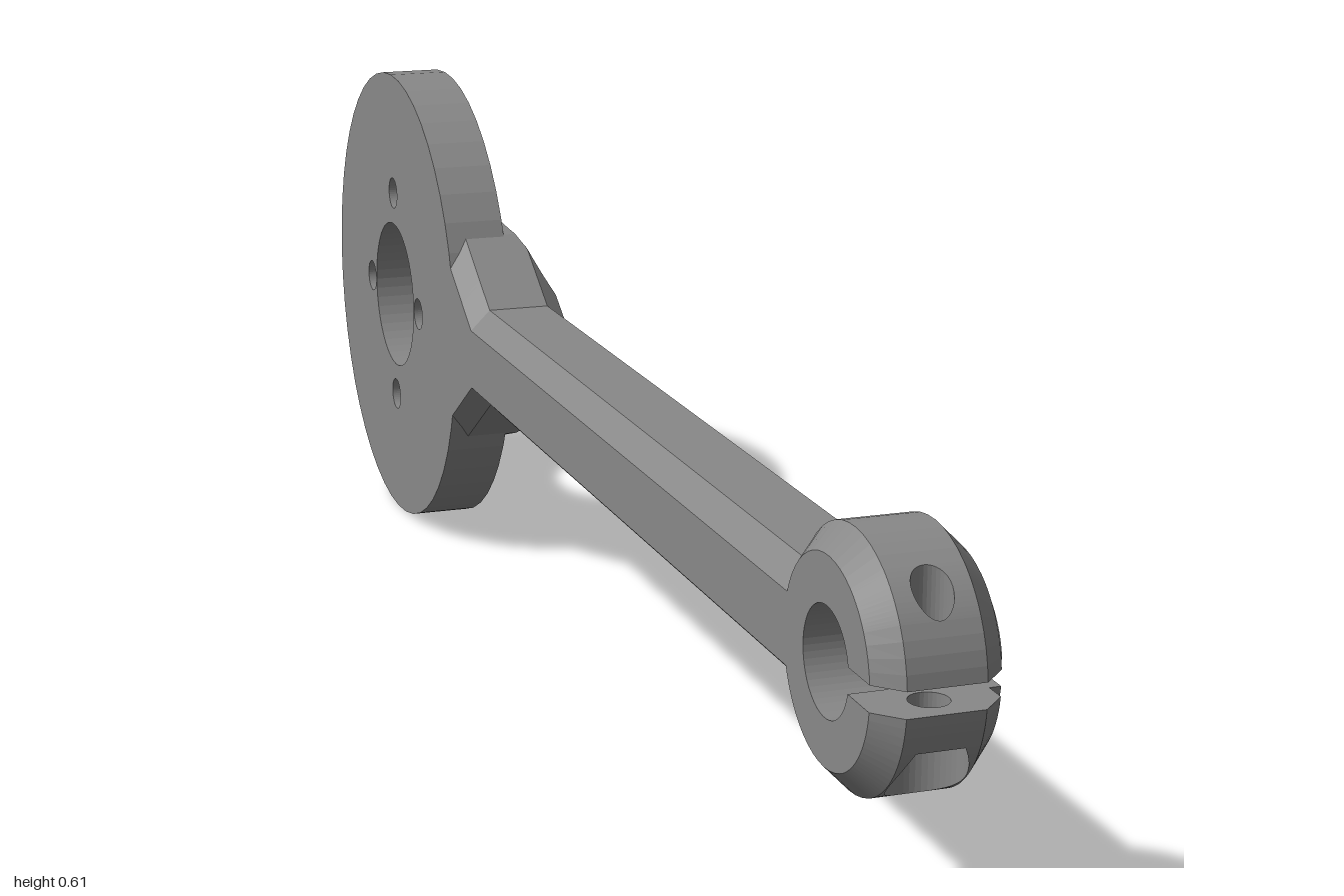
import * as THREE from 'three';

const CY = 0.307;                       // height of the common axis
const BACK = -0.071;                    // flat side shared by all parts
const TAU = Math.PI * 2;

const material = new THREE.MeshStandardMaterial({ color: 0x888888, flatShading: true });

function add(parent, name, geometry) {
  const g = geometry.index ? geometry.toNonIndexed() : geometry;
  g.computeVertexNormals();
  const mesh = new THREE.Mesh(g, material);
  mesh.name = name;
  parent.add(mesh);
}

// Surface through rows of points; the front is (along rows) x (along points)
function loft(rows, flip = false) {
  const n = rows[0].length, index = [];
  for (let i = 0; i < rows.length - 1; i++) {
    for (let j = 0; j < n - 1; j++) {
      const a = i * n + j, b = a + n, c = b + 1, d = a + 1;
      if (flip) index.push(a, c, b, a, d, c);
      else index.push(a, b, c, a, c, d);
    }
  }
  const g = new THREE.BufferGeometry();
  g.setAttribute('position', new THREE.Float32BufferAttribute(rows.flat(2), 3));
  g.setIndex(index);
  return g;
}

const circle = (x, y, r) => new THREE.Path().absarc(x, y, r, 0, TAU, true);
const steps = (a, b, n) => Array.from({ length: n + 1 }, (_, i) => a + (b - a) * i / n);

// Round plate: a layer with narrow screw holes and one with counterbores
function buildDisc() {
  const disc = new THREE.Group();
  disc.name = 'disc';
  const layer = (name, x0, x1, screwRadius) => {
    const s = new THREE.Shape().absarc(0, 0, 0.307, 0, TAU);
    s.holes.push(circle(0, 0, 0.1));
    for (const k of [-1, 1]) {
      s.holes.push(circle(0.124 * k, 0, 0.021), circle(0, 0.143 * k, screwRadius));
    }
    const g = new THREE.ExtrudeGeometry(s, { depth: x1 - x0, bevelEnabled: false, curveSegments: 24 });
    add(disc, name, g.rotateY(Math.PI / 2).translate(x0, CY, -0.693));
  };
  layer('discBack', BACK, -0.03, 0.021);
  layer('discFront', -0.03, 0.0055, 0.04);
  return disc;
}

// Straight bar with chamfered corners
function buildRod(parent) {
  const c = 0.025, x1 = 0.056, h = 0.0625;
  const s = new THREE.Shape([
    [BACK + c, -h], [x1 - c, -h], [x1, c - h], [x1, h - c],
    [x1 - c, h], [BACK + c, h], [BACK, h - c], [BACK, c - h],
  ].map(p => new THREE.Vector2(...p)));
  const g = new THREE.ExtrudeGeometry(s, { depth: 1.1, bevelEnabled: false });
  add(parent, 'rod', g.translate(0, CY, -0.31));
}

// Flared neck whose top sinks into the disc along a round fillet about the disc axis
function buildNeck(parent) {
  const radius = 0.14;
  const width = z => z > -0.42
    ? THREE.MathUtils.mapLinear(z, -0.31, -0.42, 0.0625, 0.135)
    : THREE.MathUtils.mapLinear(z, -0.42, -0.515, 0.135, 0.168);
  const fillet = (y, z) => {
    const d = THREE.MathUtils.clamp(Math.hypot(y, z + 0.693) - 0.238, 0, radius);
    return 0.0052 + radius - Math.sqrt(radius * radius - d * d);
  };
  const rows = steps(-0.31, -0.53, 44).map(z => {
    const w = width(z), f = w - 0.025;
    const bar = y => Math.min(0.056, 0.031 + w - y);
    // Where the fillet meets the chamfered bar
    let lo = 0, hi = w;
    for (let i = 0; i < 24; i++) {
      const mid = (lo + hi) / 2;
      if (fillet(mid, z) < bar(mid)) lo = mid;
      else hi = mid;
    }
    const [p, q] = lo < f ? [lo, f] : [f, lo];
    const side = [...steps(0, p, 8), ...steps(p, q, 4).slice(1), ...steps(q, w, 4).slice(1)];
    const ys = [...side.slice(1).reverse().map(y => -y), ...side];
    const ring = ys.map(y => [Math.min(bar(Math.abs(y)), fillet(y, z)), CY + y, z]);
    ring.push([BACK + 0.025, CY + w, z], [BACK, CY + f, z],
      [BACK, CY - f, z], [BACK + 0.025, CY - w, z], ring[0]);
    return ring;
  });
  add(parent, 'neck', loft(rows));
}

// Split clamp with a boss, a bore, a slot and a cross-drilled screw hole
function buildClamp() {
  const clamp = new THREE.Group();
  clamp.name = 'clamp';
  clamp.position.set(0, CY, 0.87);
  const R = 0.13, slot = 0.013, cx = -0.0065, cz = 0.09, hole = 0.02, bore = 0.038, floor = -0.052;
  const a0 = Math.asin(slot / R);
  const half = (a, r) => Math.sqrt(Math.max(0, r * r - (R * Math.cos(a) - cz) ** 2));

  // Angles round the clamp, with the half width of the opening at each one
  const top = steps(0, Math.PI, 16).map(t => {
    const a = Math.acos((cz + hole * Math.cos(t)) / R);
    return [a, half(a, hole)];
  });
  const cut = Math.sqrt(R * R - floor * floor);
  const bottom = steps(Math.PI, Math.acos((cut - cz) / bore), 16).map(t => {
    const a = TAU - Math.acos((cz + bore * Math.cos(t)) / R);
    return [a, half(a, bore)];
  });
  const plain = (a, b, n) => steps(a, b, n).map(t => [t, 0]);
  const around = [
    ...plain(a0, top[0][0], 4), ...top,
    ...plain(top[16][0], bottom[0][0], 32), ...bottom,
    ...plain(bottom[16][0], TAU - a0, 4),
  ];

  // Point on the ring; the slot keeps parallel sides at every radius
  const at = (a, r, x) => {
    const b = Math.asin(slot / r);
    const t = b + (a - a0) / (TAU - 2 * a0) * (TAU - 2 * b);
    return [x, r * Math.sin(t), r * Math.cos(t)];
  };
  const profile = [[R, -0.046], [0.104, BACK], [0.055, BACK], [0.055, 0.071],
    [0.08, 0.071], [0.08, 0.059], [0.104, 0.059], [R, 0.033]];
  for (let k = 0; k < profile.length - 1; k++) {
    add(clamp, 'clampRing', loft(around.map(([a]) => [at(a, ...profile[k]), at(a, ...profile[k + 1])])));
  }
  // Outer band on both sides of the screw openings
  add(clamp, 'clampBand', loft(around.map(([a, h]) => [at(a, R, 0.033), at(a, R, cx + h)])));
  add(clamp, 'clampBand', loft(around.map(([a, h]) => [at(a, R, cx - h), at(a, R, -0.046)])));

  // Walls of the screw hole and of its counterbore
  for (const [list, y] of [[top, slot], [bottom, floor]]) {
    for (const s of [1, -1]) {
      const rows = list.map(([a, h]) => {
        const p = at(a, R, cx + s * h);
        return [p, [p[0], y, p[2]]];
      });
      add(clamp, 'screwHoleWall', loft(rows, s < 0));
    }
  }
  add(clamp, 'screwHoleWall', loft(steps(0, TAU, 32).map(t => {
    const x = cx + hole * Math.cos(t), z = cz + hole * Math.sin(t);
    return [[x, floor, z], [x, -slot, z]];
  })));

  // Flat faces, pierced by the screw hole: counterbore floor and slot sides
  const flat = (name, points, y, dir) => {
    const s = new THREE.Shape(points.map(([x, z]) => new THREE.Vector2(x, -dir * z)));
    s.holes.push(circle(cx, -dir * cz, hole));
    add(clamp, name, new THREE.ShapeGeometry(s, 16).rotateX(-dir * Math.PI / 2).translate(0, y, 0));
  };
  const lip = Math.asin((cut - cz) / bore);
  flat('counterboreFloor', steps(Math.PI - lip, TAU + lip, 28)
    .map(t => [cx + bore * Math.cos(t), cz + bore * Math.sin(t)]), floor, -1);
  const section = profile.map(([r, x]) => [x, Math.sqrt(r * r - slot * slot)]);
  flat('slotTop', section, slot, -1);
  flat('slotBottom', section, -slot, 1);
  return clamp;
}

export function createModel() {
  const model = new THREE.Group();
  model.name = 'clampArm';
  model.add(buildDisc(), buildClamp());
  buildRod(model);
  buildNeck(model);
  return model;
}
